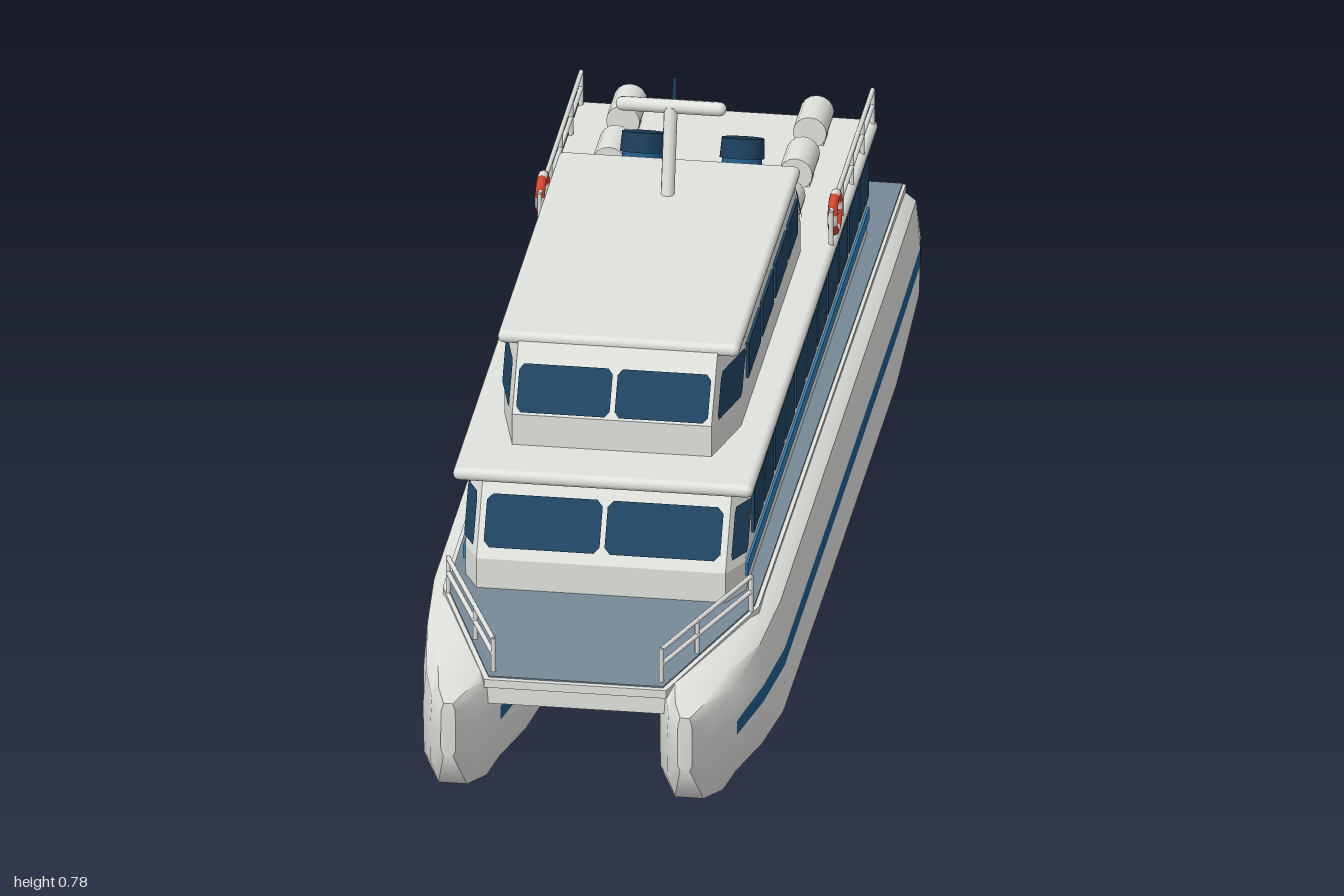
import * as THREE from 'three';
import { toCreasedNormals } from 'three/addons/utils/BufferGeometryUtils.js';
import { RoundedBoxGeometry } from 'three/addons/geometries/RoundedBoxGeometry.js';

const material = (name, color, side = THREE.FrontSide) => {
  const m = new THREE.MeshStandardMaterial({ color, side });
  m.name = name;
  return m;
};

// Skin closed rings; bands for which isStripe(i, j) holds go in a second group.
function loft(rings, crease, isStripe = () => false) {
  const main = [], stripe = [];
  const n = rings[0].length;
  for (let i = 0; i < rings.length - 1; i++) {
    for (let j = 0; j < n; j++) {
      const k = (j + 1) % n;
      const [a, b, c, d] = [rings[i][j], rings[i][k], rings[i + 1][k], rings[i + 1][j]];
      (isStripe(i, j) ? stripe : main).push(...a, ...b, ...c, ...a, ...c, ...d);
    }
  }
  const first = rings[0], last = rings[rings.length - 1];
  for (let j = 1; j < n - 1; j++) {
    main.push(...last[0], ...last[j], ...last[j + 1], ...first[0], ...first[j + 1], ...first[j]);
  }
  const g = new THREE.BufferGeometry();
  g.setAttribute('position', new THREE.Float32BufferAttribute([...main, ...stripe], 3));
  if (stripe.length) {
    g.addGroup(0, main.length / 3, 0);
    g.addGroup(main.length / 3, stripe.length / 3, 1);
  }
  return toCreasedNormals(g, crease);
}

// Flat pane with clipped corners inside a quad (bottom a-b, top d-c), lifted by offset.
function pane([a, b, c, d], u0, u1, v0, v1, offset) {
  const cu = (u1 - u0) * 0.05, cv = (v1 - v0) * 0.12;
  const uv = [[u0 + cu, v0], [u1 - cu, v0], [u1, v0 + cv], [u1, v1 - cv],
    [u1 - cu, v1], [u0 + cu, v1], [u0, v1 - cv], [u0, v0 + cv]];
  const [A, B, C, D] = [a, b, c, d].map(p => new THREE.Vector3(...p));
  const pts = uv.map(([u, v]) => A.clone().lerp(B, u).lerp(D.clone().lerp(C, u), v).add(offset));
  const g = new THREE.BufferGeometry().setFromPoints(pts);
  g.setIndex([1, 2, 3, 4, 5, 6].flatMap(i => [0, i, i + 1]));
  g.computeVertexNormals();
  return g;
}

export function createModel() {
  const white = material('white paint', 0xe0e2dd);
  const deckGrey = material('deck grey', 0x768896);
  const glass = material('dark glass', 0x1f4461, THREE.DoubleSide);
  const navy = material('navy', 0x1b3c57);
  const blue = material('hull blue', 0x1f5a8a);
  const lightBlue = material('stripe blue', 0x2f7fb8);
  const red = material('buoy red', 0xd8452c);

  const model = new THREE.Group();
  model.name = 'catamaranFerry';
  const add = (name, geometry, mat, x = 0, y = 0, z = 0, parent = model) => {
    const mesh = new THREE.Mesh(geometry, mat);
    mesh.name = name;
    mesh.position.set(x, y, z);
    parent.add(mesh);
    return mesh;
  };
  const rod = (name, a, b, r, mat = white, sides = 8, r2 = r) => {
    const p = new THREE.Vector3(...a), q = new THREE.Vector3(...b);
    const m = add(name, new THREE.CylinderGeometry(r2, r, p.distanceTo(q), sides), mat);
    m.position.copy(p).lerp(q, 0.5);
    m.quaternion.setFromUnitVectors(new THREE.Vector3(0, 1, 0), q.sub(p).normalize());
    return m;
  };

  // Hulls: z, half width, then heights of keel, chine, stripe, shoulder and top
  const stations = [
    [-1, 0.088, 0.04, 0.06, 0.11, 0.14, 0.2, 0.225],
    [-0.96, 0.093, 0.035, 0.057, 0.11, 0.14, 0.222, 0.245],
    [-0.7, 0.095, 0, 0.022, 0.11, 0.14, 0.225, 0.245],
    [0, 0.095, 0.003, 0.025, 0.11, 0.14, 0.225, 0.245],
    [0.55, 0.095, 0.01, 0.032, 0.112, 0.142, 0.225, 0.244],
    [0.7, 0.083, 0.018, 0.045, 0.118, 0.146, 0.218, 0.235],
    [0.85, 0.062, 0.03, 0.065, 0.128, 0.152, 0.21, 0.226],
    [0.95, 0.036, 0.06, 0.095, 0.138, 0.16, 0.208, 0.224],
    [1, 0.012, 0.13, 0.14, 0.15, 0.17, 0.21, 0.223],
  ];
  const ratios = [0.64, 0.98, 1, 1, 0.93, 0.62];
  const hullRings = stations.map(([z, w, ...ys]) => {
    const half = ys.map((y, i) => [w * ratios[i], y, z]);
    return [...half, ...half.map(([x, y]) => [-x, y, z]).reverse()];
  });
  const hull = loft(hullRings, 0.8, (i, j) => i < 6 && (j === 2 || j === 8));
  for (const s of [1, -1]) add(s > 0 ? 'leftHull' : 'rightHull', hull, [white, blue], s * 0.19);

  // Bridge deck, rim and walking deck: rows of z, half width, bottom, top, bottom width
  const slab = (name, rows, mat) => add(name, loft(rows.map(([z, w, y0, y1, wb = w]) =>
    [[wb, y0, z], [w, (y0 + y1) / 2, z], [w, y1, z], [-w, y1, z], [-w, (y0 + y1) / 2, z], [-wb, y0, z]]), 0.2), mat);
  slab('bridgeDeck', [[-0.95, 0.2, 0.155, 0.242], [0.62, 0.24, 0.155, 0.242, 0.23],
    [0.84, 0.165, 0.155, 0.228, 0.155], [0.895, 0.143, 0.178, 0.224]], white);
  slab('deckRim', [[-0.968, 0.259, 0.23, 0.246], [0.62, 0.254, 0.23, 0.246], [0.905, 0.146, 0.21, 0.224]], white);
  slab('deck', [[-0.965, 0.254, 0.235, 0.249], [0.62, 0.247, 0.235, 0.249], [0.897, 0.14, 0.213, 0.227]], deckGrey);

  // Cabins: levels are y, front z, back z; corners are chamfered front and back
  const cabin = (name, { levels, fw, w, ch, rw, rch, paneX, v }) => {
    const rings = levels.map(([y, zf, zb]) => {
      const half = [[fw, y, zf], [w, y, zf - ch], [w, y, zb + rch], [rw, y, zb]];
      return [...half, ...half.map(([x, , z]) => [-x, y, z]).reverse()];
    });
    add(name, loft(rings, 0.15), white);
    const [lo, hi] = [rings[1], rings[2]];
    for (const s of [1, -1]) {
      const flip = ([x, y, z]) => [x * s, y, z];
      const mid = ([, y, z]) => [0, y, z];
      add(name + 'Windscreen', pane([mid(lo[0]), lo[0], hi[0], mid(hi[0])].map(flip),
        0.004 / fw, paneX / fw, ...v, new THREE.Vector3(0, 0.002, 0.004)), glass);
      add(name + 'CornerWindow', pane([lo[0], lo[1], hi[1], hi[0]].map(flip),
        0.12, 0.95, ...v, new THREE.Vector3(s * 0.004, 0, 0.002)), glass);
      if (rch > 0.03) add(name + 'RearCornerWindow', pane([lo[2], lo[3], hi[3], hi[2]].map(flip),
        0.1, 0.8, ...v, new THREE.Vector3(s * 0.004, 0, -0.002)), glass);
    }
  };
  const sideWindows = (name, x, y, h, spans) => {
    for (const s of [1, -1]) for (const [a, b] of spans) {
      add(name, new THREE.BoxGeometry(0.008, h, a - b), glass, s * x, y, (a + b) / 2);
    }
  };
  cabin('mainCabin', {
    levels: [[0.24, 0.62, -0.783], [0.3, 0.62, -0.783], [0.43, 0.535, -0.783]],
    fw: 0.2, w: 0.225, ch: 0.05, rw: 0.215, rch: 0.012, paneX: 0.19, v: [0.12, 0.68],
  });
  sideWindows('mainWindow', 0.2255, 0.357, 0.074,
    Array.from({ length: 11 }, (_, i) => [0.503 - i * 0.1165, 0.403 - i * 0.1165]));
  for (const s of [1, -1]) {
    add('cabinStripe', new THREE.BoxGeometry(0.008, 0.021, 1.34), lightBlue, s * 0.225, 0.286, -0.1);
  }
  cabin('upperCabin', {
    levels: [[0.44, 0.5, -0.325], [0.5, 0.5, -0.325], [0.6, 0.43, -0.25]],
    fw: 0.16, w: 0.19, ch: 0.12, rw: 0.175, rch: 0.05, paneX: 0.154, v: [0.03, 0.68],
  });
  sideWindows('upperWindow', 0.1905, 0.536, 0.06,
    [[0.325, 0.19], [0.17, 0.045], [0.025, -0.1], [-0.12, -0.22]]);

  // Roofs
  add('mainRoof', new RoundedBoxGeometry(0.482, 0.022, 1.39, 3, 0.0105), white, 0, 0.436, -0.09);
  add('upperRoof', new RoundedBoxGeometry(0.388, 0.021, 0.685, 3, 0.01), white, 0, 0.6, 0.09);

  // Mast, radar bar and aerial
  rod('mast', [0, 0.605, -0.115], [0, 0.745, -0.152], 0.011, white, 12);
  const bar = add('radarBar', new THREE.CapsuleGeometry(0.0115, 0.155, 4, 12), white, 0, 0.746, -0.155);
  bar.rotation.z = Math.PI / 2;
  rod('aerial', [0, 0.605, -0.17], [0, 0.777, -0.196], 0.004, navy);

  for (const s of [1, -1]) {
    // Raked funnel with a dark cap
    rod('funnel', [s * 0.08, 0.44, -0.345], [s * 0.08, 0.556, -0.389], 0.035, blue, 20, 0.032);
    rod('funnelCap', [s * 0.08, 0.552, -0.3875], [s * 0.08, 0.582, -0.399], 0.036, navy, 20, 0.034);

    // Life raft canisters on cradles
    for (const z of [-0.38, -0.54, -0.695]) {
      rod('liferaft', [s * 0.15, 0.476, z - 0.042], [s * 0.15, 0.476, z + 0.042], 0.027, white, 16);
      add('raftCradle', new THREE.BoxGeometry(0.04, 0.012, 0.05), white, s * 0.15, 0.451, z);
    }

    // Upper deck railing
    for (const y of [0.476, 0.503]) rod('upperRail', [s * 0.234, y, -0.31], [s * 0.234, y, -0.77], 0.004);
    for (const z of [-0.312, -0.425, -0.54, -0.655, -0.768]) {
      rod('upperRailPost', [s * 0.234, 0.44, z], [s * 0.234, 0.503, z], 0.004);
    }

    // Bow railing following the deck edge
    const edge = (t, h) => [s * (0.135 + t * 0.108), 0.226 + t * 0.021 + h, 0.88 - t * 0.245];
    for (const h of [0.032, 0.058]) rod('bowRail', edge(0, h), edge(1, h), 0.004);
    for (const t of [0, 0.4, 1]) rod('bowRailPost', edge(t, -0.006), edge(t, 0.06), 0.004);

    // Lifebuoy: four red arcs with white bands between
    const buoy = new THREE.Group();
    buoy.name = 'lifebuoy';
    buoy.position.set(s * 0.235, 0.485, -0.35);
    buoy.rotation.y = Math.PI / 2;
    model.add(buoy);
    for (let i = 0; i < 4; i++) {
      const arc = (name, deg, start, mat) => {
        const g = new THREE.TorusGeometry(0.03, 0.008, 8, 6, THREE.MathUtils.degToRad(deg));
        add(name, g, mat, 0, 0, 0, buoy).rotation.z = THREE.MathUtils.degToRad(start + i * 90);
      };
      arc('buoyArc', 62, 14, red);
      arc('buoyBand', 28, 76, white);
    }

    // Stern bollard
    add('bollard', new THREE.CylinderGeometry(0.014, 0.014, 0.03, 12), navy, s * 0.18, 0.262, -0.855);
  }
  return model;
}
